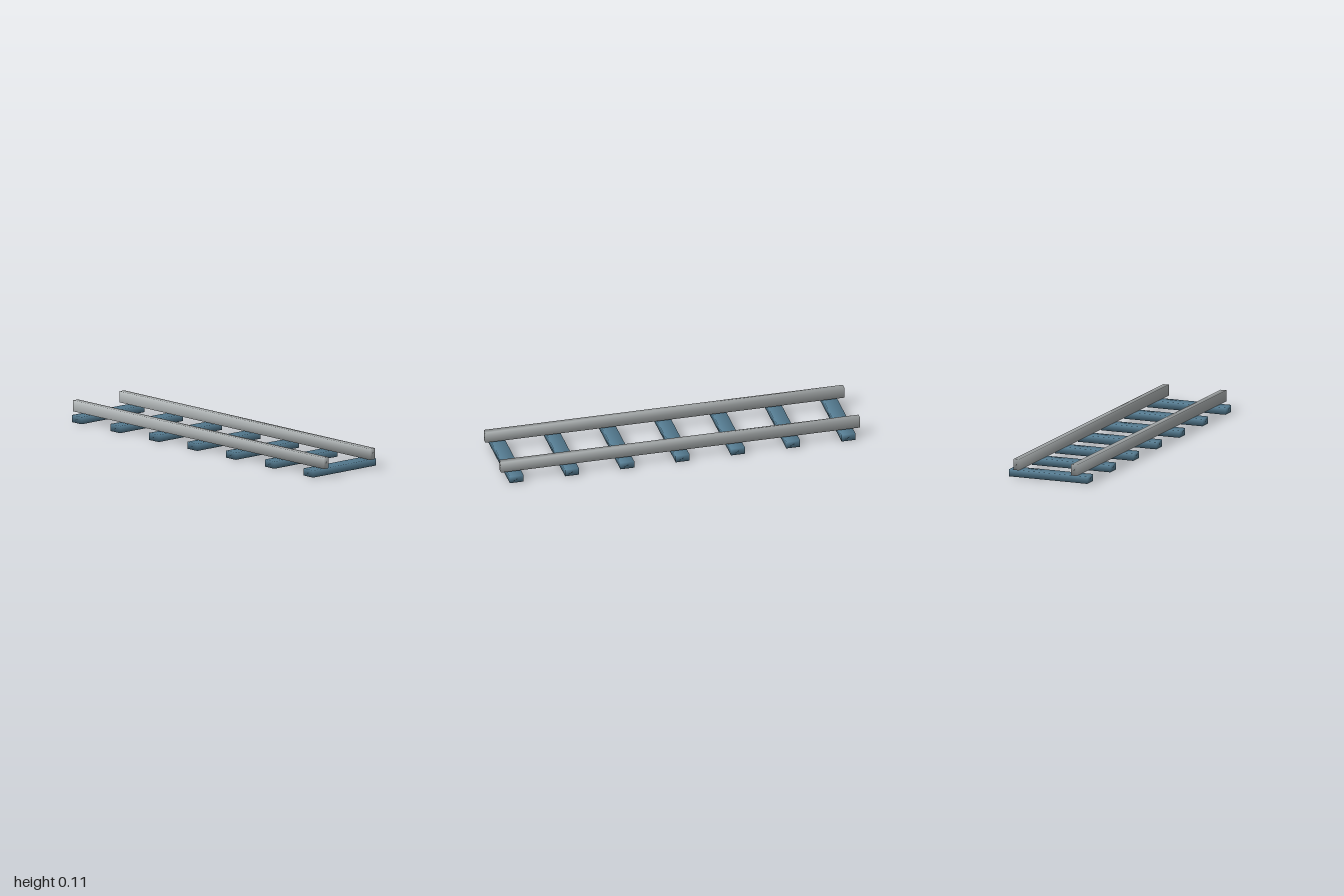
import * as THREE from 'three';
import { mergeVertices } from 'three/addons/utils/BufferGeometryUtils.js';

// Box with shared corners, so its edges shade softly
function softBox(w, h, d) {
  const box = new THREE.BoxGeometry(w, h, d);
  box.deleteAttribute('normal');
  box.deleteAttribute('uv');
  const g = mergeVertices(box);
  g.computeVertexNormals();
  return g;
}

export function createModel() {
  const track = new THREE.Group();
  track.name = 'railwayTrack';
  const steel = new THREE.MeshStandardMaterial({ color: 0xb0b5b6 });
  steel.name = 'railSteel';
  const blue = new THREE.MeshStandardMaterial({ color: 0x557c92 });
  blue.name = 'sleeperBlue';

  const add = (name, geometry, material, x, y, z) => {
    const mesh = new THREE.Mesh(geometry, material);
    mesh.name = name;
    mesh.position.set(x, y, z);
    track.add(mesh);
  };

  // Seven evenly spaced sleepers
  const sleeper = softBox(0.077, 0.039, 0.462);
  for (let i = -3; i <= 3; i++) add('sleeper', sleeper, blue, i * 0.308, 0.0195, 0);

  // Two rails floating just above the sleepers
  const rail = softBox(2, 0.061, 0.034);
  for (const side of [-1, 1]) add(side > 0 ? 'frontRail' : 'backRail', rail, steel, 0, 0.0775, side * 0.17);

  return track;
}
